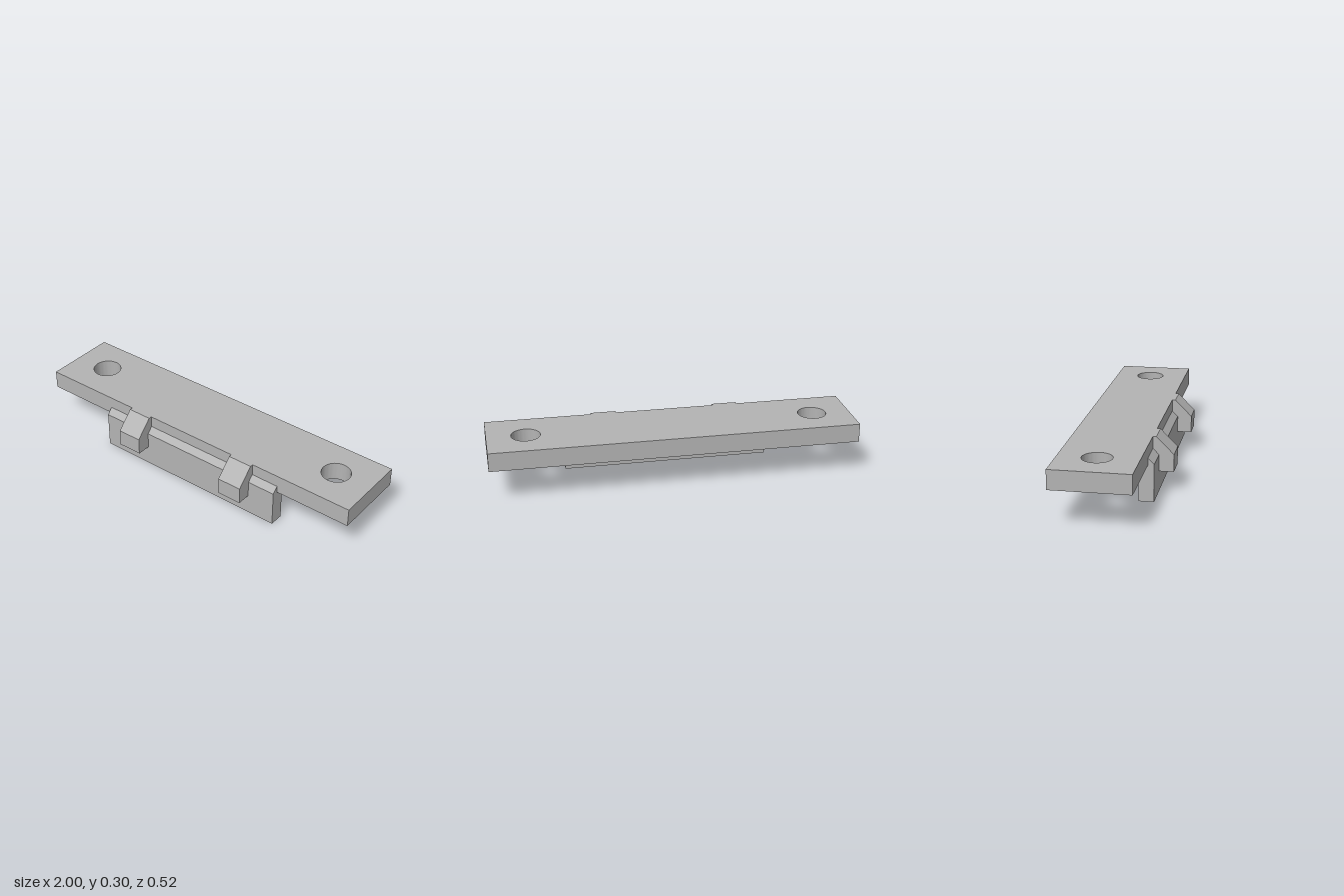
import * as THREE from 'three';
import { toCreasedNormals } from 'three/addons/utils/BufferGeometryUtils.js';

const metal = new THREE.MeshStandardMaterial({ color: 0xb4b4b4 });
metal.name = 'grey metal';

const BOTTOM = 0.195, TOP = 0.298; // plate heights
const FRONT = 0.152, BACK = -0.262; // plate depth

function extrude(shape, depth) {
  return new THREE.ExtrudeGeometry(shape, { depth, bevelEnabled: false, curveSegments: 32 });
}

function part(name, geometry) {
  const mesh = new THREE.Mesh(toCreasedNormals(geometry, 0.5), metal);
  mesh.name = name;
  return mesh;
}

// Sweeps a (z, y) side profile along x, centred on x = 0
function sideProfile(shape, width) {
  return extrude(shape, width).translate(0, 0, -width / 2).rotateY(-Math.PI / 2);
}

export function createModel() {
  const group = new THREE.Group();
  group.name = 'mountingBracket';

  // Flat plate with two screw holes
  const plate = new THREE.Shape([[-1, -FRONT], [1, -FRONT], [1, -BACK], [-1, -BACK]]
    .map(([x, y]) => new THREE.Vector2(x, y)));
  for (const side of [-1, 1]) {
    plate.holes.push(new THREE.Path().absarc(side * 0.79, 0.06, 0.078, 0, Math.PI * 2, true));
  }
  group.add(part('plate', extrude(plate, TOP - BOTTOM).rotateX(-Math.PI / 2).translate(0, BOTTOM, 0)));

  // Hanging lip with a chamfered front edge and a fillet under the plate
  const lip = new THREE.Shape();
  lip.moveTo(0.105, 0);
  lip.lineTo(0.184, 0);
  lip.lineTo(0.184, 0.201);
  lip.lineTo(FRONT, 0.233);
  lip.lineTo(FRONT, BOTTOM);
  lip.lineTo(0.071, BOTTOM);
  lip.absarc(0.071, BOTTOM - 0.034, 0.034, Math.PI / 2, 0, true);
  lip.closePath();
  group.add(part('lip', sideProfile(lip, 1.142)));

  // Two chamfered clips that reach through the lip
  const clip = new THREE.Shape([
    [0.098, 0.111], [0.262, 0.111], [0.262, 0.205], [0.17, TOP],
    [FRONT, TOP], [FRONT, BOTTOM], [0.098, BOTTOM],
  ].map(([z, y]) => new THREE.Vector2(z, y)));
  for (const side of [-1, 1]) {
    const mesh = part(side > 0 ? 'leftClip' : 'rightClip', sideProfile(clip, 0.138));
    mesh.position.x = side * 0.344;
    group.add(mesh);
  }

  return group;
}
